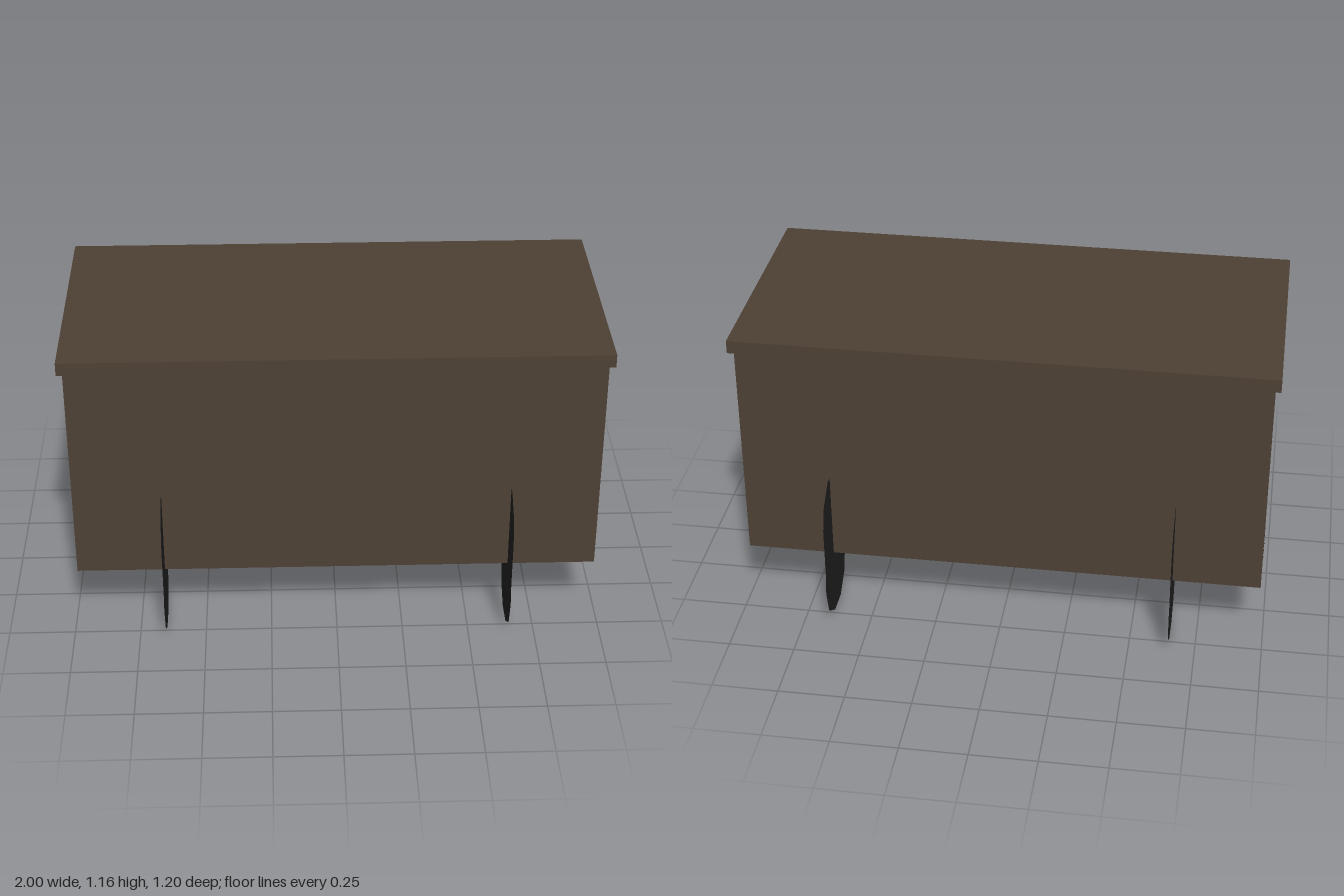
import * as THREE from 'three';

const brown = new THREE.MeshStandardMaterial({ color: 0x4e4135 });
brown.name = 'brown wood';
const black = new THREE.MeshStandardMaterial({ color: 0x222222, side: THREE.DoubleSide });
black.name = 'black';

// Half outline of a runner in (z, y), on the +z side
const FOOT = [
  [0.39, 0.59], [0.48, 0.59], [0.56, 0.53], [0.59, 0.44], [0.59, 0.22], [0.6, 0.19],
  [0.6, 0.16], [0.57, 0.06], [0.48, 0], [0.38, 0], [0.3, 0.06], [0.27, 0.16],
  [0.27, 0.2], [0.28, 0.22], [0.28, 0.44], [0.31, 0.53],
];

function box(name, w, h, d, y) {
  const mesh = new THREE.Mesh(new THREE.BoxGeometry(w, h, d), brown);
  mesh.name = name;
  mesh.position.y = y;
  return mesh;
}

export function createModel() {
  const model = new THREE.Group();
  model.name = 'chest';

  // Body and overhanging lid
  model.add(box('body', 1.96, 0.86, 0.9, 0.68));
  model.add(box('lid', 2, 0.05, 0.94, 1.135));

  // Flat sheet feet standing across the long sides
  for (const side of [1, -1]) {
    const shape = new THREE.Shape(FOOT.map(([z, y]) => new THREE.Vector2(-z * side, y)));
    const geometry = new THREE.ShapeGeometry(shape).rotateY(Math.PI / 2);
    for (const x of [-0.65, 0.65]) {
      const foot = new THREE.Mesh(geometry, black);
      foot.name = (side > 0 ? 'front' : 'back') + (x > 0 ? 'Left' : 'Right') + 'Foot';
      foot.position.x = x;
      model.add(foot);
    }
  }

  // Dark band low on each end
  for (const side of [1, -1]) {
    const band = new THREE.Mesh(new THREE.PlaneGeometry(0.87, 0.06), black);
    band.name = side > 0 ? 'leftBand' : 'rightBand';
    band.rotation.y = side * Math.PI / 2;
    band.position.set(side * 0.981, 0.38, 0);
    model.add(band);
  }
  return model;
}
